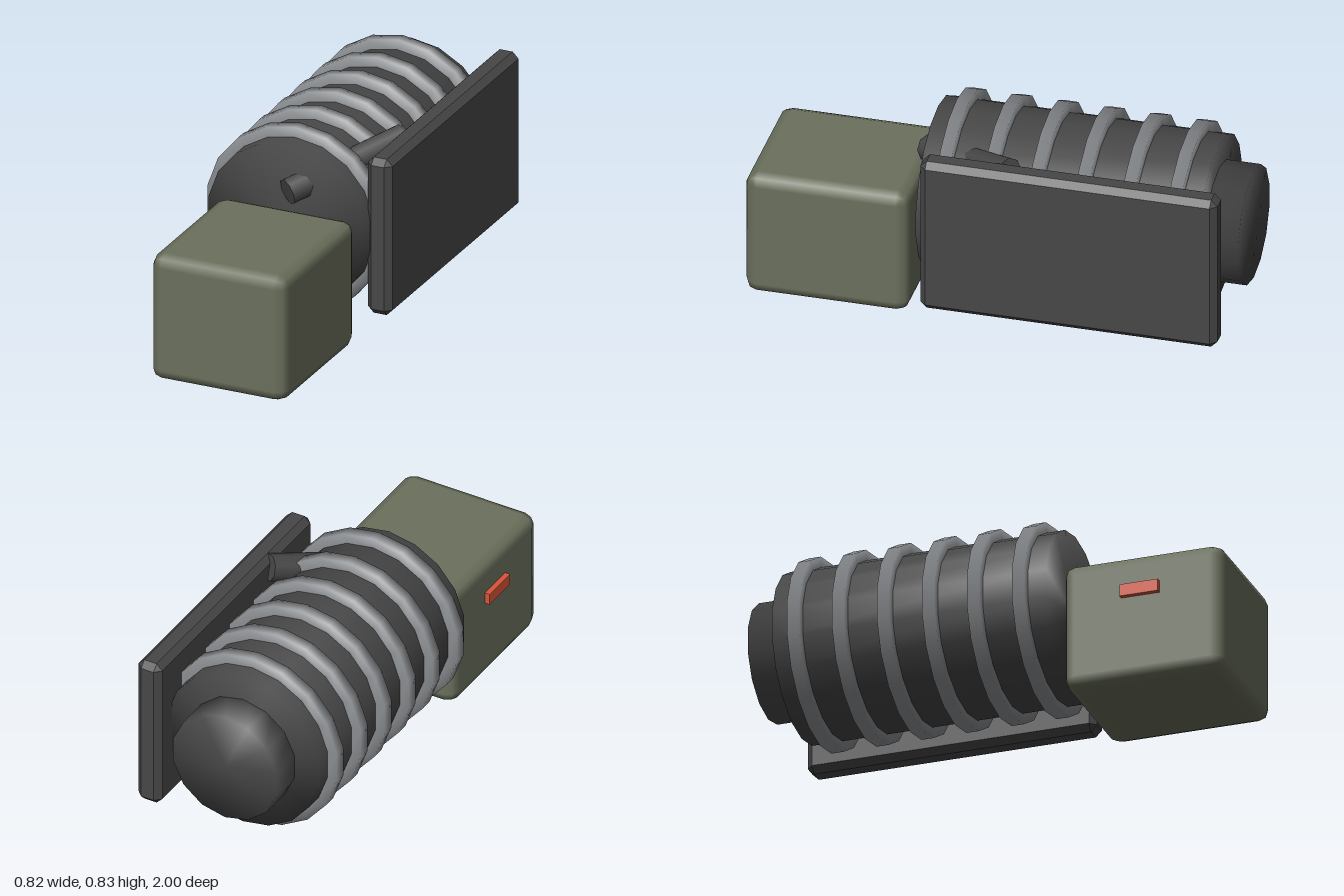
import * as THREE from 'three';
import { ConvexGeometry } from 'three/addons/geometries/ConvexGeometry.js';

const material = (name, color) => {
  const m = new THREE.MeshStandardMaterial({ color });
  m.name = name;
  return m;
};

// Box with bevelled edges: one flat chamfer, or a two-step rounded bevel
function bevelBox(w, h, d, r, round) {
  const inner = new THREE.Vector3(w / 2 - r, h / 2 - r, d / 2 - r);
  const dirs = [[1, 0, 0], [0, 1, 0], [0, 0, 1]];
  if (round) dirs.push([1, 1, 0], [0, 1, 1], [1, 0, 1], [1, 1, 1]);
  const points = [];
  for (const sx of [-1, 1]) for (const sy of [-1, 1]) for (const sz of [-1, 1]) {
    const sign = new THREE.Vector3(sx, sy, sz);
    for (const dir of dirs) {
      points.push(new THREE.Vector3(...dir).normalize().multiplyScalar(r).add(inner).multiply(sign));
    }
  }
  const geo = new ConvexGeometry(points);
  if (round) {
    // Normals point away from the inner box, so the faces stay flat
    const pos = geo.attributes.position;
    const p = new THREE.Vector3();
    const q = new THREE.Vector3();
    for (let i = 0; i < pos.count; i++) {
      p.fromBufferAttribute(pos, i);
      q.copy(p).clamp(inner.clone().negate(), inner);
      p.sub(q).normalize();
      geo.attributes.normal.setXYZ(i, p.x, p.y, p.z);
    }
  }
  return geo;
}

// Lathed part lying along z; profile is [radius, z]
function turned(profile, sides) {
  const pts = profile.map(([r, z]) => new THREE.Vector2(r, z));
  return new THREE.LatheGeometry(pts, sides).rotateX(Math.PI / 2);
}

export function createModel() {
  const group = new THREE.Group();
  const green = material('olive green', 0x6b705c);
  const dark = material('dark metal', 0x474747);
  const steel = material('grey steel', 0x8a8d90);
  const red = material('signal red', 0xd9553a);

  const add = (name, geo, mat, x, y, z) => {
    const mesh = new THREE.Mesh(geo, mat);
    mesh.name = name;
    mesh.position.set(x, y, z);
    group.add(mesh);
    return mesh;
  };

  // Barrel and its rear plug
  const cx = -0.024, cy = 0.437;
  add('barrel', turned([[0, -0.86], [0.348, -0.86], [0.348, 0.29], [0, 0.29]], 18), dark, cx, cy, 0);
  add('rearPlug', turned([[0, -1], [0.2425, -1], [0.2425, -0.8], [0, -0.8]], 14), dark, cx, cy, 0);

  // Six bands around the barrel
  const band = turned([[0.335, -0.026], [0.39, -0.026], [0.39, 0.026], [0.335, 0.026]], 18);
  for (let i = 0; i < 6; i++) add('band' + (i + 1), band, steel, cx, cy, 0.188 - i * 0.189);

  // Side plate
  const plate = bevelBox(0.108, 0.672, 1.215, 0.026, false);
  add('sidePlate', plate, dark, 0.354, 0.436, -0.353);

  // Slanted rod passing through the barrel
  const a = new THREE.Vector3(-0.005, 0.597, 0.325);
  const b = new THREE.Vector3(0.303, 0.728, -0.09);
  const mid = a.clone().add(b).multiplyScalar(0.5);
  const rod = add('slantedRod', new THREE.CylinderGeometry(0.056, 0.056, a.distanceTo(b), 8), dark, mid.x, mid.y, mid.z);
  rod.quaternion.setFromUnitVectors(new THREE.Vector3(0, 1, 0), b.clone().sub(a).normalize());

  // Front box with its marker
  add('frontBox', bevelBox(0.593, 0.54, 0.67, 0.05, true), green, 0.003, 0.27, 0.665);
  add('marker', new THREE.BoxGeometry(0.04, 0.05, 0.16), red, -0.295, 0.38, 0.66);

  return group;
}
